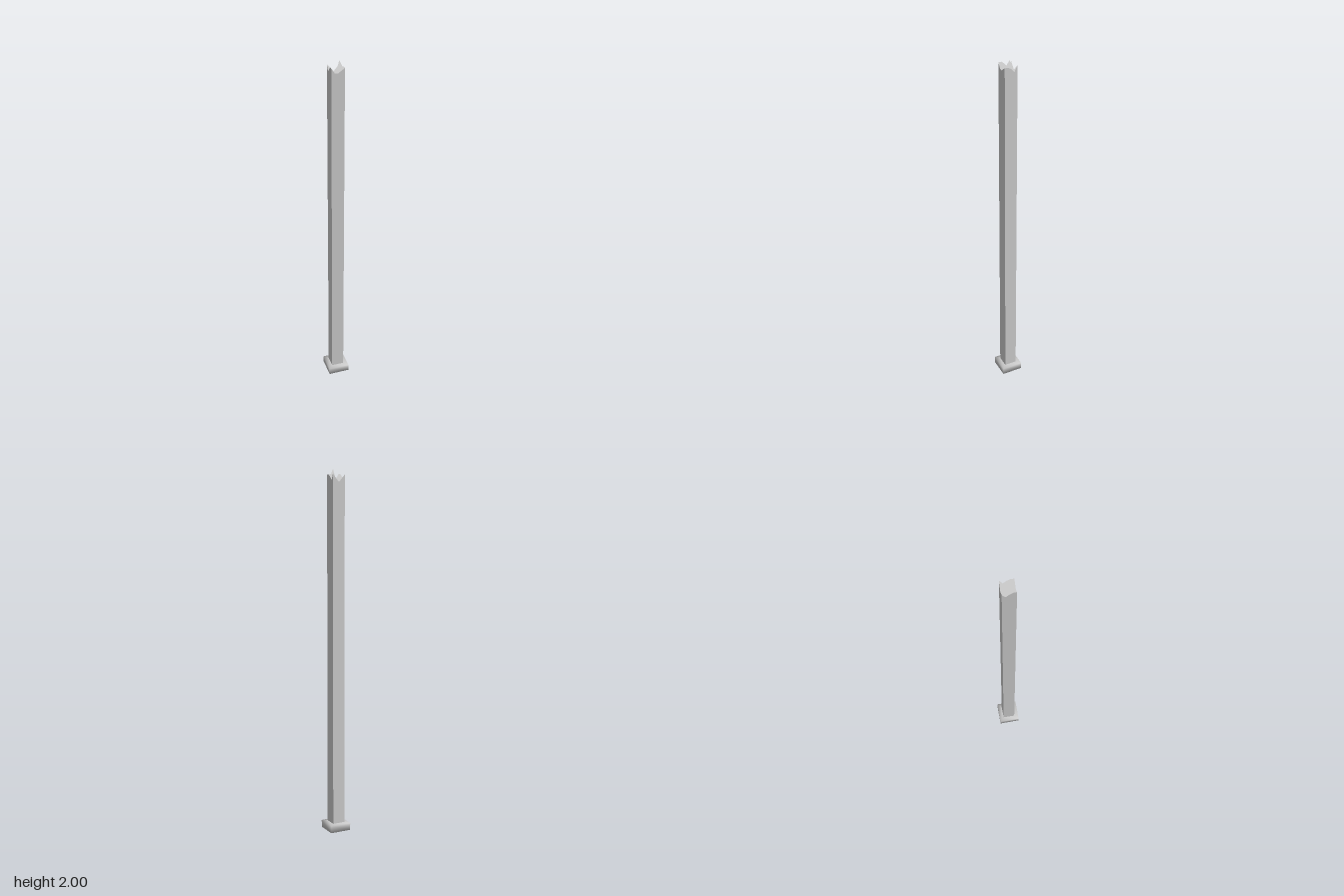
import * as THREE from 'three';

const material = new THREE.MeshStandardMaterial({ color: 0xcccccc });

// Heights of the splintered top: rows run back to front, columns along +x
const SPLINTERS = [
  [1.97, 1.95, 1.93, 1.95, 1.975],
  [1.94, 1.93, 1.92, 1.94, 1.94],
  [1.96, 1.94, 1.94, 2.0, 1.96],
  [1.975, 1.95, 1.93, 1.975, 1.97],
  [1.975, 1.95, 1.945, 1.96, 1.97],
];

// Square shaft whose top grid is pulled into broken spikes; its sides stay flat
function createShaft() {
  const width = 0.07, bottom = 0.03, cells = SPLINTERS.length - 1;
  const geometry = new THREE.BoxGeometry(width, 1, width, cells, 1, cells);
  const p = geometry.attributes.position;
  const index = (v) => Math.round((v / width + 0.5) * cells);
  for (let i = 0; i < p.count; i++) {
    p.setY(i, p.getY(i) > 0 ? SPLINTERS[index(p.getZ(i))][index(p.getX(i))] : bottom);
  }
  const shaft = new THREE.Mesh(geometry, material);
  shaft.name = 'brokenShaft';
  return shaft;
}

// Square foot, softly shaded around its corners
function createFoot() {
  const profile = [[0, 0], [0.06, 0], [0.06, 0.04], [0.034, 0.043]]
    .map(([r, y]) => new THREE.Vector2(r * Math.SQRT2, y));
  const foot = new THREE.Mesh(new THREE.LatheGeometry(profile, 4, Math.PI / 4), material);
  foot.name = 'foot';
  return foot;
}

export function createModel() {
  const model = new THREE.Group();
  model.name = 'brokenPost';
  model.add(createFoot(), createShaft());
  return model;
}
